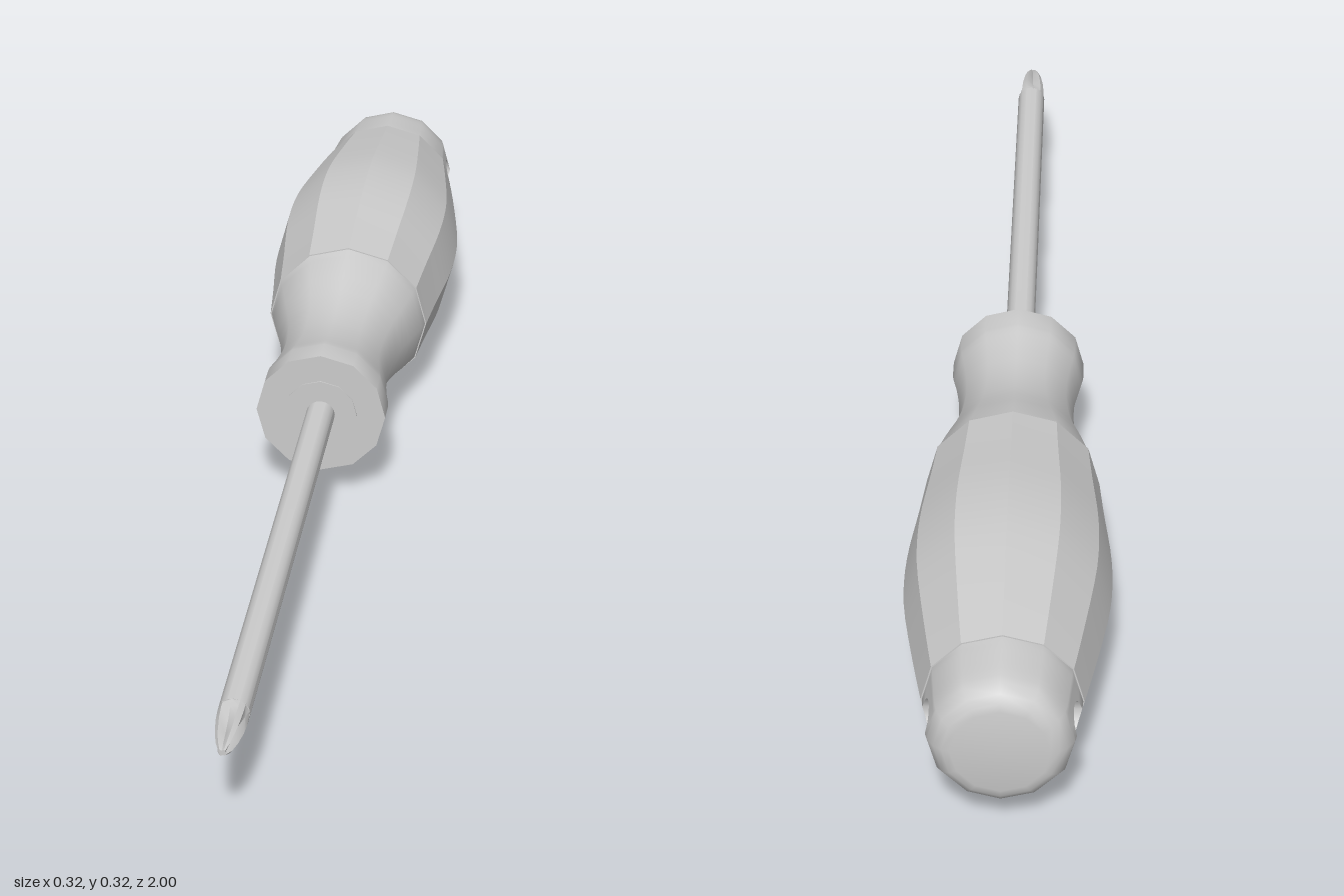
import * as THREE from 'three';
import { mergeGeometries, toCreasedNormals } from 'three/addons/utils/BufferGeometryUtils.js';

const AXIS_Y = 0.159;
const SIDES = 12;
const deg = THREE.MathUtils.degToRad;

// Lathe around the z axis; profile is [z, radius] with z ascending.
function turn(profile, sides = SIDES, start = 0, sweep = 360) {
  const pts = profile.map(([z, r]) => new THREE.Vector2(r, z));
  const geo = new THREE.LatheGeometry(pts, sides, deg(start), deg(sweep)).rotateX(Math.PI / 2);
  return bare(geo);
}

// Keep positions only, so that pieces can be merged and creased.
function bare(geo) {
  const g = geo.index ? geo.toNonIndexed() : geo;
  g.deleteAttribute('uv');
  g.deleteAttribute('normal');
  return g;
}

// Skin over rows of closed loops of [x, y, z] points.
function loft(rows) {
  const n = rows[0].length;
  const index = [];
  for (let i = 0; i < rows.length - 1; i++) {
    for (let j = 0; j < n; j++) {
      const k = (j + 1) % n;
      const a = i * n + j, b = i * n + k, c = b + n, d = a + n;
      index.push(a, b, d, b, c, d);
    }
  }
  const geo = new THREE.BufferGeometry();
  geo.setAttribute('position', new THREE.Float32BufferAttribute(rows.flat(2), 3));
  geo.setIndex(index);
  return bare(geo);
}

// Smooth curve through a few [z, radius] points.
function smoothProfile(points, steps) {
  const curve = new THREE.SplineCurve(points.map(([z, r]) => new THREE.Vector2(z, r)));
  return curve.getPoints(steps).map((p) => [p.x, p.y]);
}

// Cap band with a round hung-up hole running through it along x.
function holedBand(rings) {
  const holeZ = -0.93, holeR = 0.031;
  const radiusAt = (z) => {
    let i = 1;
    while (i < rings.length - 1 && rings[i][0] < z) i++;
    const [z0, r0] = rings[i - 1], [z1, r1] = rings[i];
    return r0 + (r1 - r0) * THREE.MathUtils.clamp((z - z0) / (z1 - z0), 0, 1);
  };
  // outline of the two facets that meet on the x axis
  const outline = rings.map(([z, r]) => [r / 2, z]);
  const [zBack, rBack] = rings[0], [zFront, rFront] = rings[rings.length - 1];
  for (const f of [0.25, 0, -0.25]) outline.push([rFront * f, zFront]);
  for (const [z, r] of [...rings].reverse()) outline.push([-r / 2, z]);
  for (const f of [-0.25, 0, 0.25]) outline.push([rBack * f, zBack]);

  const row = (t, side) => outline.map(([y, z]) => {
    const a = Math.atan2(z - holeZ, y);
    const py = y + (holeR * Math.cos(a) - y) * t;
    const pz = z + (holeZ + holeR * Math.sin(a) - z) * t;
    return [side * (radiusAt(pz) - Math.abs(py) * Math.tan(deg(15))), py, pz];
  });
  const steps = [0, 0.33, 0.67, 1];
  return mergeGeometries([
    turn(rings, 4, 120, 120),
    turn(rings, 4, 300, 120),
    loft([...steps.map((t) => row(t, 1)), ...steps.reverse().map((t) => row(t, -1))]),
  ]);
}

// Cross-shaped driving tip with four tapering wings.
function crossTip() {
  // z, wing radius, valley radius
  const sections = [
    [0.895, 0.024, 0.024], [0.91, 0.024, 0.019], [0.935, 0.0225, 0.012],
    [0.965, 0.018, 0.008], [0.985, 0.013, 0.006], [1, 0.006, 0.004], [1, 0, 0],
  ];
  return loft(sections.map(([z, wing, valley]) => {
    const loop = [];
    for (let q = 0; q < 4; q++) {
      for (const [angle, r] of [[0, valley], [33, wing], [57, wing]]) {
        const a = deg(q * 90 + angle + 10);
        loop.push([r * Math.cos(a), r * Math.sin(a), z]);
      }
    }
    return loop;
  }));
}

export function createModel() {
  const group = new THREE.Group();
  const material = new THREE.MeshStandardMaterial({ color: 0xcccccc });
  const add = (name, geo, crease) => {
    const mesh = new THREE.Mesh(toCreasedNormals(geo, deg(crease)), material);
    mesh.name = name;
    mesh.position.y = AXIS_Y;
    group.add(mesh);
  };

  // Waisted neck with a flat front collar
  const neck = smoothProfile([
    [-0.337, 0.135], [-0.29, 0.122], [-0.22, 0.101], [-0.15, 0.093],
    [-0.09, 0.098], [-0.05, 0.106], [-0.035, 0.108],
  ], 14);
  add('neck', turn([...neck, [0.004, 0.108], [0.004, 0]]), 45);

  // Thin disc around the shaft
  add('shaftCollar', turn([[0, 0.061], [0.006, 0.061], [0.006, 0]]), 45);

  // Faceted barrel grip
  const barrel = smoothProfile([
    [-0.882, 0.12], [-0.8, 0.135], [-0.68, 0.154], [-0.6, 0.159],
    [-0.52, 0.156], [-0.42, 0.145], [-0.337, 0.137],
  ], 16);
  add('grip', turn([[-0.882, 0.1], ...barrel, [-0.337, 0.12]]), 25);

  // Rounded end cap with the hanging hole
  const band = [
    [-0.972, 0.107], [-0.96, 0.11], [-0.945, 0.112], [-0.93, 0.1135],
    [-0.91, 0.1155], [-0.895, 0.117], [-0.88, 0.118],
  ];
  const end = [[-1, 0], [-1, 0.073], [-0.997, 0.085], [-0.988, 0.097], band[0]];
  add('endCap', mergeGeometries([turn(end), holedBand(band)]), 42);

  // Round steel shaft and its tip
  add('shaft', turn([[-0.02, 0.024], [0.897, 0.024], [0.897, 0]], 16), 40);
  add('crossTip', crossTip(), 30);

  return group;
}
